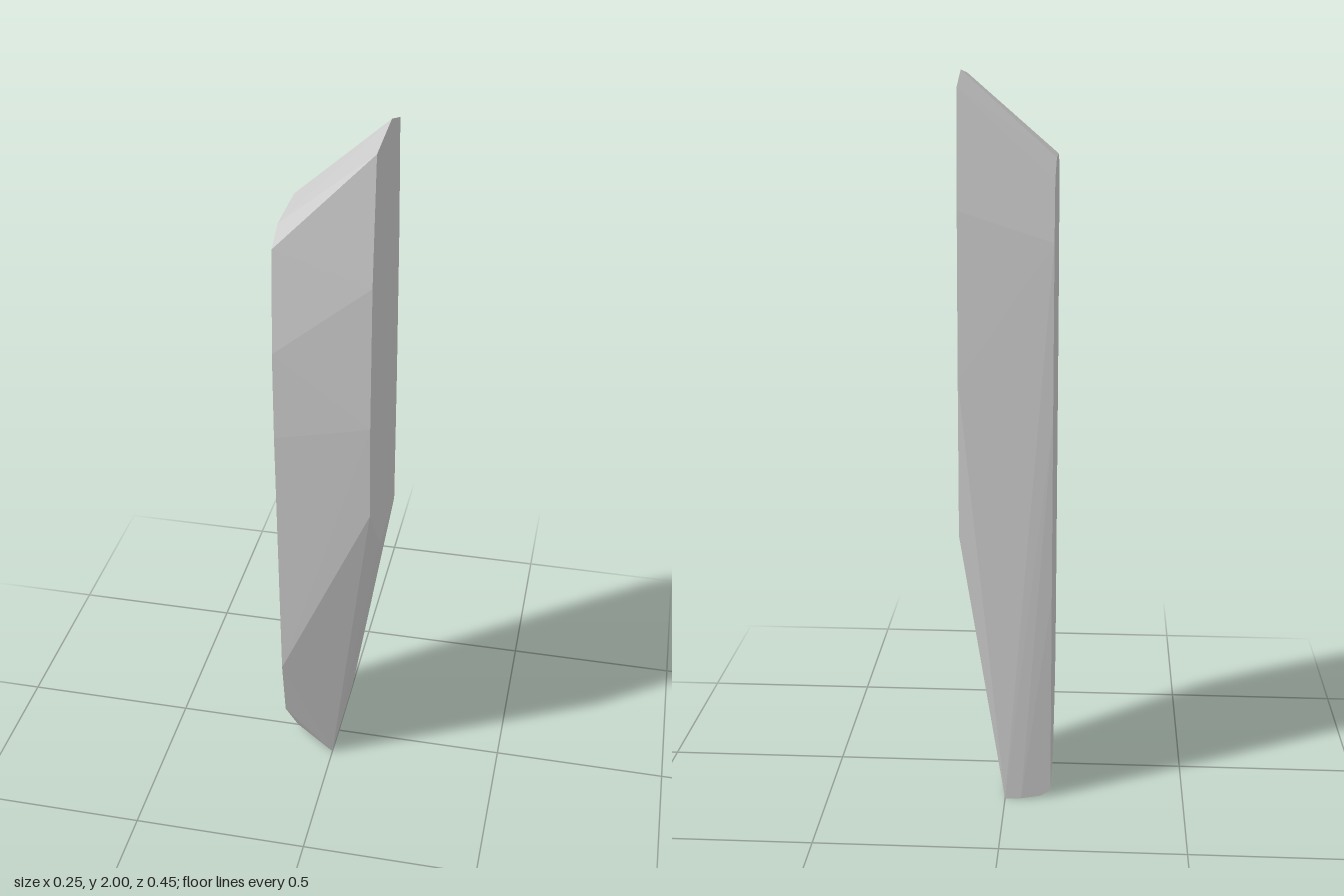
import * as THREE from 'three';
import { ConvexGeometry } from 'three/addons/geometries/ConvexGeometry.js';

// Turns a [z, y] outline into points on the plane at the given x
const outlineAt = (x, outline) => outline.map(([z, y]) => new THREE.Vector3(x, y, z));

export function createModel() {
  const halfWidth = 0.127;

  // Taller left face: front corner over the top, down the back, along the foot
  const leftFace = outlineAt(halfWidth, [
    [0.168, 1.985], [-0.03, 2.0], [-0.154, 1.96], [-0.178, 1.65], [-0.192, 1.2],
    [-0.195, 0.77], [0.04, 0.77], [0.2, 0.97], [0.211, 1.25], [0.204, 1.65],
  ]);

  // Lower right face, whose foot reaches almost to the ground
  const rightFace = outlineAt(-halfWidth, [
    [0.133, 1.77], [-0.047, 1.775], [-0.168, 1.73], [-0.192, 1.57], [-0.2, 1.1],
    [-0.204, 0.6], [-0.204, 0.02], [0.02, 0.02], [0.17, 0.215], [0.2, 0.4],
    [0.224, 1.2], [0.223, 1.45], [0.198, 1.73],
  ]);

  // Narrow foot with a bevelled rear corner
  const foot = [
    ...outlineAt(0, [[0.097, 0], [-0.226, 0]]),
    ...outlineAt(-0.045, [[-0.222, 0]]),
    ...outlineAt(-0.1, [[0.025, 0.004], [-0.21, 0.004]]),
  ];

  const shard = new THREE.Mesh(
    new ConvexGeometry([...leftFace, ...rightFace, ...foot]),
    new THREE.MeshStandardMaterial({ color: 0xcccccc, flatShading: true }),
  );
  shard.name = 'shard';

  const model = new THREE.Group();
  model.name = 'facetedShard';
  model.add(shard);
  return model;
}
